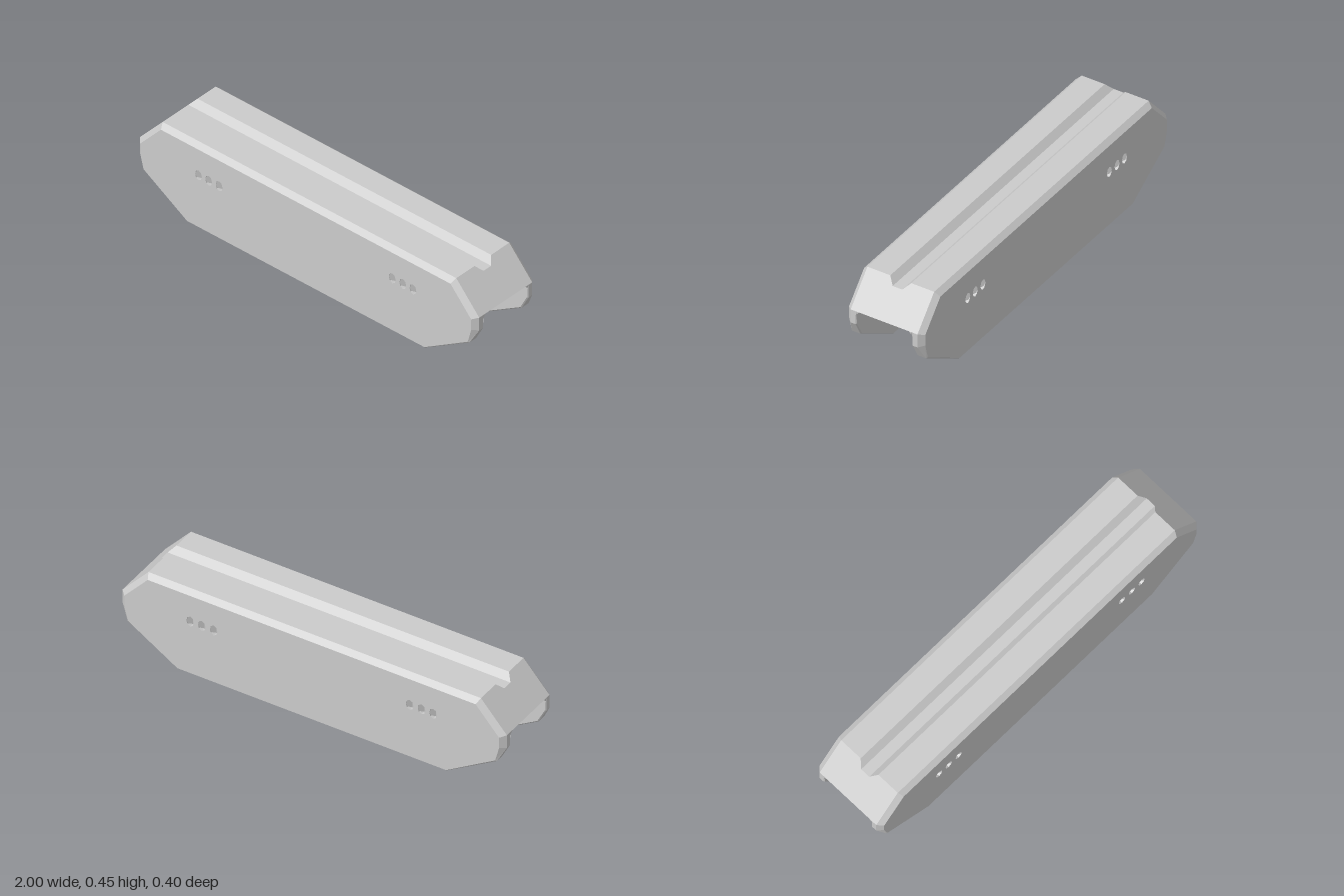
import * as THREE from 'three';

const material = new THREE.MeshStandardMaterial({ color: 0xcccccc, flatShading: true });
const pitMaterial = new THREE.MeshStandardMaterial({ color: 0xcccccc, flatShading: true, side: THREE.DoubleSide });

// Mirror a right-hand half profile of [x, y, z] points into a full closed ring.
const mirror = (half) => [...half, ...half.slice().reverse().map(([x, y, z]) => [-x, y, z])];

// Skin a list of rings; closed rings wrap around.
function loft(rings, closed = true) {
  const n = rings[0].length;
  const index = [];
  for (let i = 0; i < rings.length - 1; i++) {
    for (let j = 0; j < (closed ? n : n - 1); j++) {
      const k = (j + 1) % n;
      const a = i * n + j, b = i * n + k, c = a + n, d = b + n;
      index.push(a, c, d, a, d, b);
    }
  }
  const g = new THREE.BufferGeometry();
  g.setAttribute('position', new THREE.Float32BufferAttribute(rings.flat(2), 3));
  g.setIndex(index);
  const flat = g.toNonIndexed();
  flat.computeVertexNormals();
  return flat;
}

// Side plate outlines: outer face, outer chamfer, inner edge
const faceHalf = [[0.853, 0.427], [0.975, 0.292], [0.975, 0.265], [0.975, 0.235], [0.955, 0.16], [0.699, 0.004]];
const edgeHalf = [[0.865, 0.45], [1, 0.3], [1, 0.27], [1, 0.23], [0.96, 0.155], [0.7, 0]];
const innerHalf = [[0.865, 0.45], [1, 0.3], [0.995, 0.27], [0.995, 0.232], [0.956, 0.159], [0.699, 0.005]];
const edgeZ = [0.175, 0.175, 0.175, 0.175, 0.195, 0.195];
const at = (half, z) => half.map(([x, y], i) => [x, y, Array.isArray(z) ? z[i] : z]);

// Core cross-section: top height, ledge height under the nose, underside height
const core = (z, top, ledge, bottom) => [
  [1 - (top - 0.3) * 0.9, top, z], [1, 0.3, z], [1, ledge, z],
  [0.6 + ledge, ledge, z], [0.8, 0.2, z], [0.6 + bottom, bottom, z],
];

// Half of the body from the middle out to the +z face
const sections = [
  core(0.025, 0.42, 0.3, 0.2),
  core(0.055, 0.45, 0.3, 0.2),
  core(0.1, 0.45, 0.3, 0.2),
  core(0.1, 0.45, 0.3, 0.1),
  core(0.13, 0.45, 0.3, 0.1),
  core(0.145, 0.45, 0.285, 0.1),
  at(innerHalf, 0.145),
  at(edgeHalf, 0.15),
  at(edgeHalf, edgeZ),
  at(faceHalf, 0.2),
];
const back = sections.slice().reverse().map((s) => s.map(([x, y, z]) => [x, y, -z]));

// Octagonal vents
const ventX = [0.51, 0.572, 0.632].flatMap((x) => [x, -x]);
const ventY = 0.287, ventW = 0.02, ventH = 0.027, ventDepth = 0.022;
const ventAngles = [0, 1, 2, 3, 4, 5, 6, 7].map((i) => (i * Math.PI) / 4);

function plateFace() {
  const shape = new THREE.Shape(mirror(faceHalf).map(([x, y]) => new THREE.Vector2(x, y)));
  for (const x of ventX) {
    shape.holes.push(new THREE.Path(ventAngles.map((t) =>
      new THREE.Vector2(x + ventW * Math.cos(t), ventY + ventH * Math.sin(t)))));
  }
  return new THREE.ShapeGeometry(shape);
}

// Vent recess: upright walls above and below a V-shaped floor
function ventPit() {
  const columns = ventAngles.slice(0, 5).map((t) => {
    const x = ventW * Math.cos(t), h = ventH * Math.sin(t);
    const depth = -ventDepth * (1 - Math.abs(Math.cos(t)));
    return [[x, h, 0], [x, h, depth], [x, -h, depth], [x, -h, 0]];
  });
  return loft(columns, false);
}

export function createModel() {
  const model = new THREE.Group();
  model.name = 'railCover';

  // Body with top groove, underside channel and side skirts
  const body = new THREE.Mesh(loft([...back, ...sections].map(mirror)), material);
  body.name = 'body';
  model.add(body);

  // Outer faces with vents, front and back
  const faceGeometry = plateFace();
  const pitGeometry = ventPit();
  for (const [name, turn] of [['frontPlate', 0], ['backPlate', Math.PI]]) {
    const plate = new THREE.Group();
    plate.name = name;
    const face = new THREE.Mesh(faceGeometry, material);
    face.name = 'plateFace';
    face.position.z = 0.2;
    plate.add(face);
    for (const x of ventX) {
      const pit = new THREE.Mesh(pitGeometry, pitMaterial);
      pit.name = 'vent';
      pit.position.set(x, ventY, 0.2);
      plate.add(pit);
    }
    plate.rotation.y = turn;
    model.add(plate);
  }
  return model;
}
